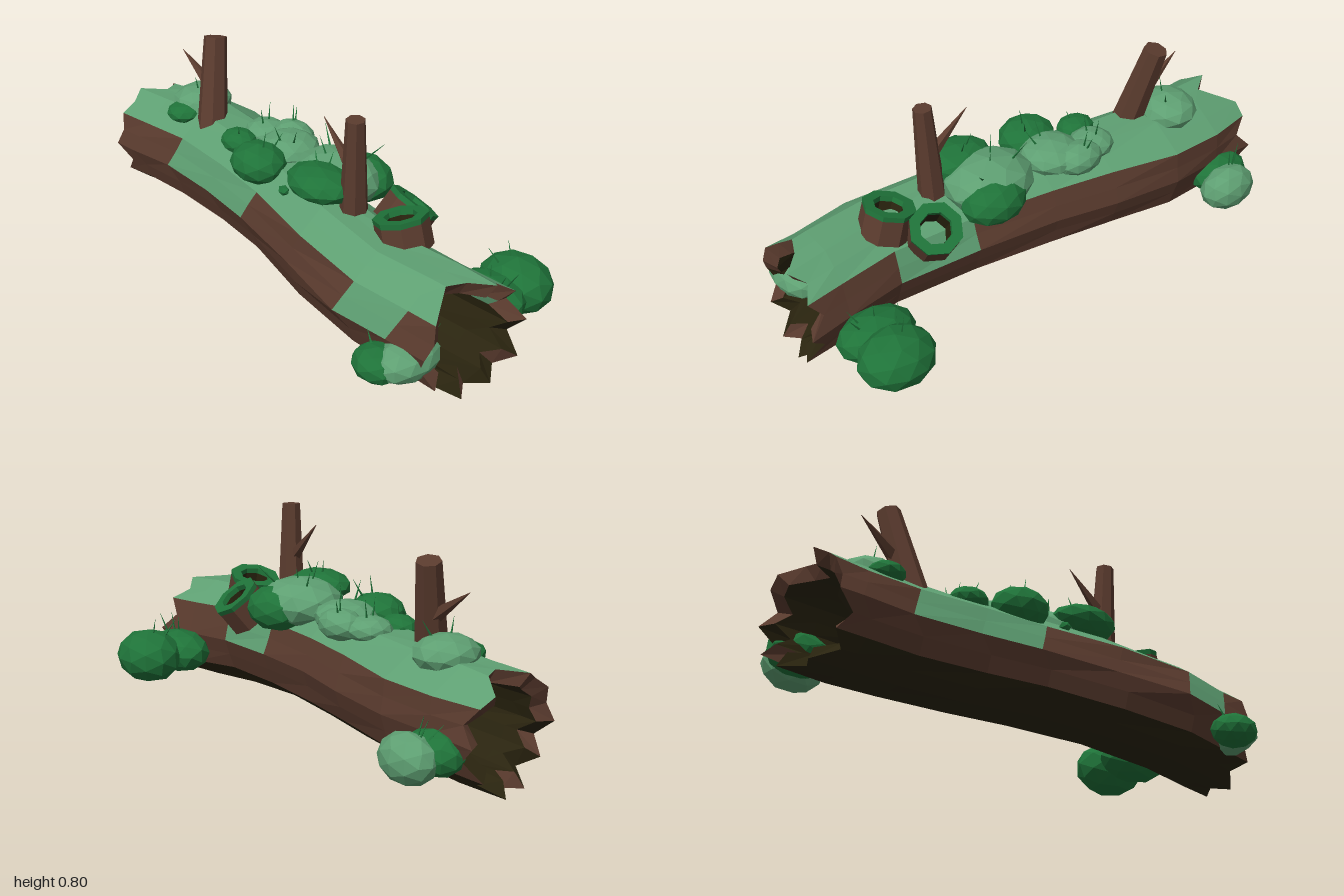
import * as THREE from 'three';

const mat = (name, color) => {
  const m = new THREE.MeshStandardMaterial({ color, flatShading: true });
  m.name = name;
  return m;
};

export function createModel() {
  const moss = mat('light moss', 0x5e9f72);
  const bark = mat('brown bark', 0x5a3b2e);
  const dark = mat('dark wood', 0x2a240f);
  const leaf = mat('dark leaf green', 0x1f7339);
  const group = new THREE.Group();
  group.name = 'mossyLog';

  const add = (name, geo, material, parent = group) => {
    const mesh = new THREE.Mesh(geo, material);
    mesh.name = name;
    parent.add(mesh);
    return mesh;
  };

  // Log centre line and radius
  const stations = [-1, -0.8, -0.58, -0.3, -0.05, 0.27, 0.59, 0.82, 1];
  const end = stations.length - 1;
  const lerp = (table, x) => {
    const t = THREE.MathUtils.clamp((x + 1) * 2, 0, 3.999), i = Math.floor(t);
    return THREE.MathUtils.lerp(table[i], table[i + 1], t - i);
  };
  const centreY = x => lerp([0.23, 0.255, 0.265, 0.235, 0.21], x);
  const centreZ = x => lerp([0.0, -0.035, 0.045, 0.145, 0.09], x);
  const radius = x => lerp([0.21, 0.212, 0.205, 0.21, 0.214], x);

  // Jagged ends: one x per angular step, from the front upward and round
  const leftEnd = [-0.95, -0.93, -0.95, -0.94, -0.97, -0.88, -0.91, -0.99, -0.98, -0.93,
    -0.99, -0.93, -1, -0.92, -1, -0.92, -0.96, -0.87, -0.93, -0.88];
  const rightEnd = [0.93, 0.95, 0.94, 0.91, 0.88, 0.91, 0.98, 0.93, 0.97, 0.92,
    0.99, 0.93, 1, 0.94, 0.98, 0.92, 0.97, 0.9, 0.95, 0.9];
  const N = 20;

  const point = (s, k, inner) => {
    k %= N;
    let x = stations[s];
    if (s === 0) x = leftEnd[k] + (inner ? 0.03 : 0);
    else if (s === end) x = rightEnd[k] - (inner ? 0.03 : 0);
    else if (k === 0) x -= 0.055; // slanted patch borders
    else if (k === 1) x -= 0.027;
    const a = k / N * Math.PI * 2;
    const flat = k % 2 ? Math.cos(Math.PI / 10) : 1; // ten-sided section
    const r = (inner ? 0.155 : radius(x)) * flat * (1 + 0.02 * Math.sin(s * 2.3 + Math.floor(k / 2) * 1.7));
    // steep bulge on the back of the left half
    const bulge = !inner && (s === 1 || s === 2) ? Math.max(0, 0.03 - 0.015 * Math.abs(k - 8)) : 0;
    return [x, centreY(x) + r * Math.sin(a), centreZ(x) + r * Math.cos(a) - bulge];
  };

  // Ten rows around the log, each with its colour by position
  const rowMaterial = (row, s) => {
    if (row >= 1 && row <= 3) return moss;
    if (row === 0) return [0, 1, 4, 5, 7].includes(s) ? bark : moss;
    if (row === 4) return s === 5 ? moss : bark;
    return row === 5 || row === 9 ? bark : dark;
  };
  const buckets = new Map();
  const quad = (key, material, a, b, c, d) => {
    if (!buckets.has(key)) buckets.set(key, { material, data: [] });
    buckets.get(key).data.push(...a, ...b, ...c, ...a, ...c, ...d);
  };
  const names = new Map([[moss, 'mossCover'], [bark, 'barkSides'], [dark, 'darkUnderside']]);
  for (let k = 0; k < N; k++) {
    for (let s = 0; s < end; s++) {
      const m = rowMaterial(Math.floor(k / 2), s);
      quad(names.get(m), m, point(s, k), point(s + 1, k), point(s + 1, k + 1), point(s, k + 1));
      const mossy = k === 8 && s === end - 1; // moss creeping inside
      quad(mossy ? 'innerMoss' : 'hollowInside', mossy ? moss : dark,
        point(s, k + 1, true), point(s + 1, k + 1, true), point(s + 1, k, true), point(s, k, true));
    }
    // Rims: bark above, mixed with dark splinters below
    const darkRim = k >= 10 && k % 3 !== 0;
    const rim = [darkRim ? 'darkRims' : 'barkRims', darkRim ? dark : bark];
    quad(...rim, point(end, k + 1), point(end, k), point(end, k, true), point(end, k + 1, true));
    quad(...rim, point(0, k), point(0, k + 1), point(0, k + 1, true), point(0, k, true));
  }
  for (const [name, { material, data }] of buckets) {
    const g = new THREE.BufferGeometry();
    g.setAttribute('position', new THREE.Float32BufferAttribute(data, 3));
    g.computeVertexNormals();
    add(name, g, material);
  }

  // Tapered rod between two points
  const rod = (name, from, to, r0, r1, sides, material) => {
    const a = new THREE.Vector3(...from), b = new THREE.Vector3(...to);
    const dir = b.clone().sub(a);
    const mesh = add(name, new THREE.CylinderGeometry(r1, r0, dir.length(), sides), material);
    mesh.position.copy(a).add(b).multiplyScalar(0.5);
    mesh.quaternion.setFromUnitVectors(new THREE.Vector3(0, 1, 0), dir.normalize());
  };

  // Broken branches with a side twig
  rod('leftBranch', [-0.53, 0.4, 0.03], [-0.595, 0.755, -0.05], 0.062, 0.046, 7, bark);
  rod('leftTwig', [-0.59, 0.56, -0.01], [-0.745, 0.665, 0.0], 0.028, 0.001, 5, bark);
  rod('rightBranch', [0.345, 0.4, 0.08], [0.362, 0.805, 0.095], 0.054, 0.035, 7, bark);
  rod('rightTwig', [0.35, 0.59, 0.09], [0.185, 0.745, 0.08], 0.028, 0.001, 5, bark);

  // Hollow knots: bark tube with a mossy rim
  const knot = (pos, rx, rz) => {
    const g = new THREE.Group();
    g.name = 'hollowKnot';
    g.position.set(...pos);
    g.rotation.set(rx, 0, rz);
    const lathe = (name, pts, m) =>
      add(name, new THREE.LatheGeometry(pts.map(p => new THREE.Vector2(...p)), 8), m, g);
    lathe('knotBark', [[0.1, -0.07], [0.098, 0.03]], bark);
    lathe('knotRim', [[0.098, 0.03], [0.1, 0.05], [0.06, 0.05], [0.058, 0.03]], leaf);
    lathe('knotInside', [[0.058, 0.03], [0.055, -0.07]], dark);
    group.add(g);
  };
  knot([0.56, 0.445, 0.05], 0, 0.28);
  knot([0.45, 0.41, -0.085], -0.65, -0.2);

  // Moss clumps: material, centre, radii, number of grass blades
  const clumps = [
    [moss, [-0.79, 0.17, -0.305], [0.12, 0.09, 0.085], 3],
    [leaf, [-0.82, 0.18, -0.22], [0.125, 0.08, 0.09], 0],
    [moss, [-0.68, 0.45, -0.04], [0.115, 0.07, 0.125], 2],
    [leaf, [-0.67, 0.435, 0.05], [0.074, 0.042, 0.082], 0],
    [leaf, [-0.31, 0.45, 0.07], [0.078, 0.046, 0.067], 1],
    [leaf, [-0.12, 0.455, 0.13], [0.117, 0.077, 0.102], 2],
    [moss, [-0.12, 0.465, -0.02], [0.12, 0.06, 0.12], 2],
    [moss, [-0.19, 0.46, -0.1], [0.1, 0.06, 0.075], 2],
    [moss, [-0.29, 0.455, -0.05], [0.09, 0.05, 0.085], 2],
    [moss, [0.16, 0.465, -0.01], [0.178, 0.097, 0.158], 4],
    [leaf, [0.21, 0.505, 0.12], [0.142, 0.062, 0.107], 2],
    [leaf, [0.2, 0.445, -0.1], [0.132, 0.087, 0.102], 0],
    [leaf, [0.775, 0.17, -0.32], [0.148, 0.107, 0.125], 2],
    [leaf, [0.77, 0.17, -0.18], [0.152, 0.085, 0.11], 3],
    [moss, [0.825, 0.155, 0.28], [0.095, 0.073, 0.135], 3],
    [leaf, [0.77, 0.145, 0.36], [0.097, 0.064, 0.087], 1],
    [leaf, [0.07, 0.43, 0.17], [0.025, 0.02, 0.02], 0],
  ];
  let seed = 7;
  const rand = () => (seed = (seed * 16807) % 2147483647) / 2147483647;
  clumps.forEach(([m, c, r, blades], i) => {
    const clump = add('mossClump', new THREE.IcosahedronGeometry(1, r[0] < 0.05 ? 0 : 1), m);
    clump.position.set(...c);
    clump.scale.set(...r);
    clump.geometry.rotateY(i * 0.9);
    // Thin grass blades
    for (let b = 0; b < blades; b++) {
      const dx = (rand() - 0.5) * r[0], dz = (rand() - 0.5) * r[2];
      rod('grassBlade', [c[0] + dx, c[1] + r[1] * 0.75, c[2] + dz],
        [c[0] + dx * 1.7, c[1] + r[1] + 0.025 + rand() * 0.04, c[2] + dz * 1.7], 0.005, 0.0005, 3, leaf);
    }
  });
  return group;
}
